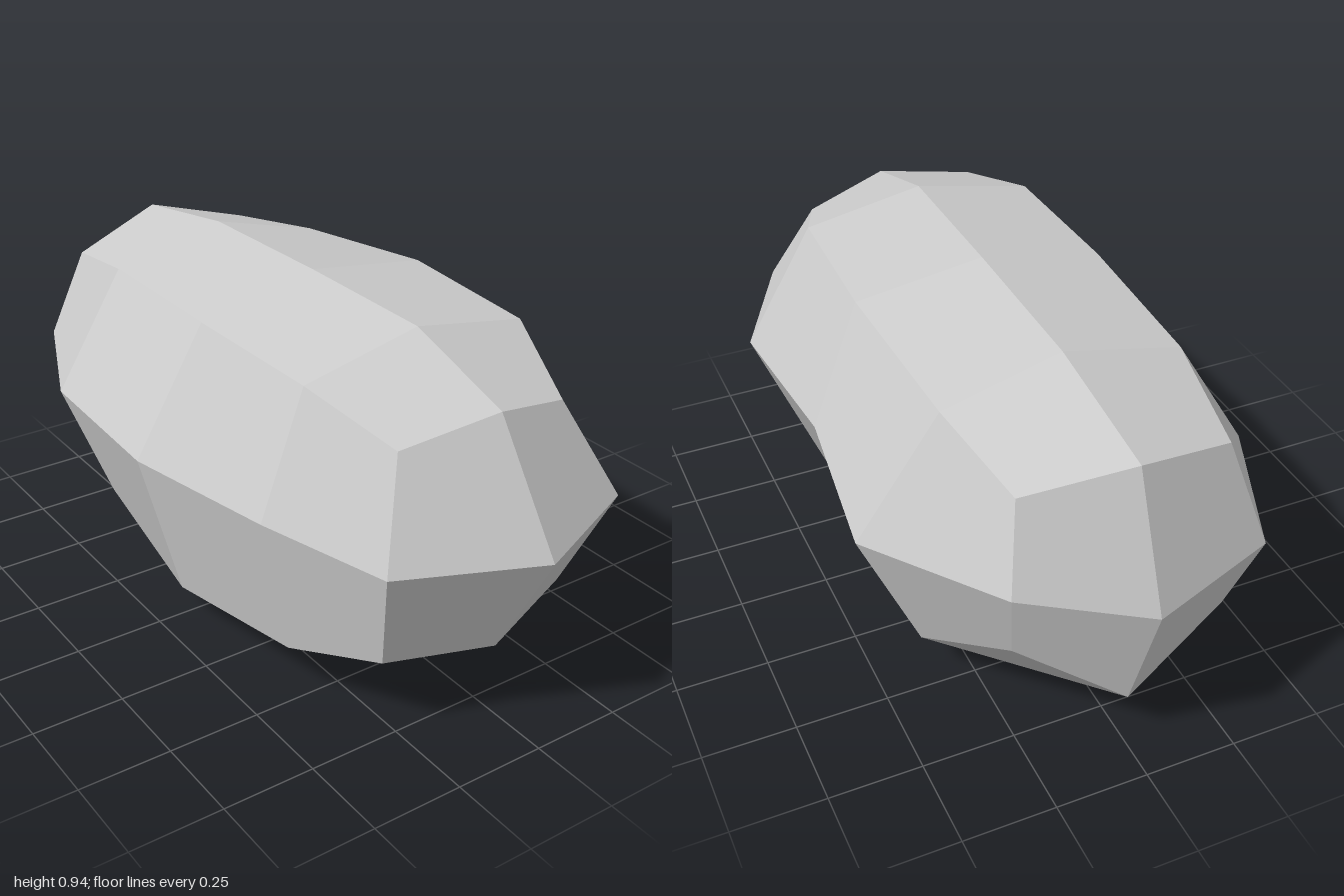
import * as THREE from 'three';

// Cross-sections from front to back, each with eight points anticlockwise from the +x side:
// side, upper corner, top, upper corner, side, lower corner, bottom, lower corner
const SECTIONS = [
  [[0.35, 0.53, 0.85], [0.24, 0.78, 0.74], [0, 0.835, 0.79], [-0.27, 0.795, 0.75],
    [-0.36, 0.53, 0.84], [-0.305, 0.235, 0.76], [0, 0.2, 0.82], [0.255, 0.27, 0.76]],
  [[0.53, 0.53, 0.49], [0.335, 0.875, 0.47], [0, 0.935, 0.47], [-0.335, 0.865, 0.47],
    [-0.46, 0.53, 0.47], [-0.39, 0.15, 0.48], [0, 0, 0.49], [0.305, 0.22, 0.47]],
  [[0.49, 0.53, 0.02], [0.355, 0.89, 0.02], [0, 0.94, 0.02], [-0.345, 0.87, 0.02],
    [-0.55, 0.53, 0.02], [-0.435, 0.1, 0.02], [0, 0.1, 0.02], [0.36, 0.145, 0.02]],
  [[0.55, 0.53, -0.47], [0.32, 0.85, -0.46], [0, 0.935, -0.46], [-0.33, 0.86, -0.46],
    [-0.53, 0.53, -0.47], [-0.39, 0.17, -0.46], [0, 0.02, -0.46], [0.385, 0.14, -0.46]],
  [[0.29, 0.53, -0.81], [0.27, 0.81, -0.78], [0, 0.875, -0.86], [-0.285, 0.8, -0.785],
    [-0.36, 0.53, -0.87], [-0.31, 0.285, -0.79], [0, 0.16, -0.88], [0.255, 0.295, -0.74]],
];

export function createModel() {
  const stone = new THREE.MeshStandardMaterial({ color: 0xcccccc });
  stone.name = 'stone grey';

  // Each four-sided facet is split from b to d and shaded with one normal
  const positions = [], normals = [];
  const quad = (a, b, c, d) => {
    positions.push(...a, ...b, ...d, ...b, ...c, ...d);
    const [va, vb, vc, vd] = [a, b, c, d].map((p) => new THREE.Vector3(...p));
    const normal = vc.sub(va).cross(vd.sub(vb)).normalize().toArray();
    for (let n = 0; n < 6; n++) normals.push(...normal);
  };

  // Sides between neighbouring sections
  for (let i = 0; i < SECTIONS.length - 1; i++) {
    const front = SECTIONS[i], back = SECTIONS[i + 1];
    for (let j = 0; j < 8; j++) {
      const k = (j + 1) % 8;
      quad(front[j], back[j], back[k], front[k]);
    }
  }

  // Each end closes with four facets round a middle point
  const first = SECTIONS[0], last = SECTIONS[SECTIONS.length - 1];
  for (let j = 0; j < 8; j += 2) {
    const k = (j + 2) % 8;
    quad([0, 0.53, 1], first[j], first[j + 1], first[k]);
    quad([0, 0.53, -1], last[k], last[j + 1], last[j]);
  }

  const geometry = new THREE.BufferGeometry();
  geometry.setAttribute('position', new THREE.Float32BufferAttribute(positions, 3));
  geometry.setAttribute('normal', new THREE.Float32BufferAttribute(normals, 3));

  const rock = new THREE.Mesh(geometry, stone);
  rock.name = 'rock';
  const group = new THREE.Group();
  group.name = 'boulder';
  group.add(rock);
  return group;
}
